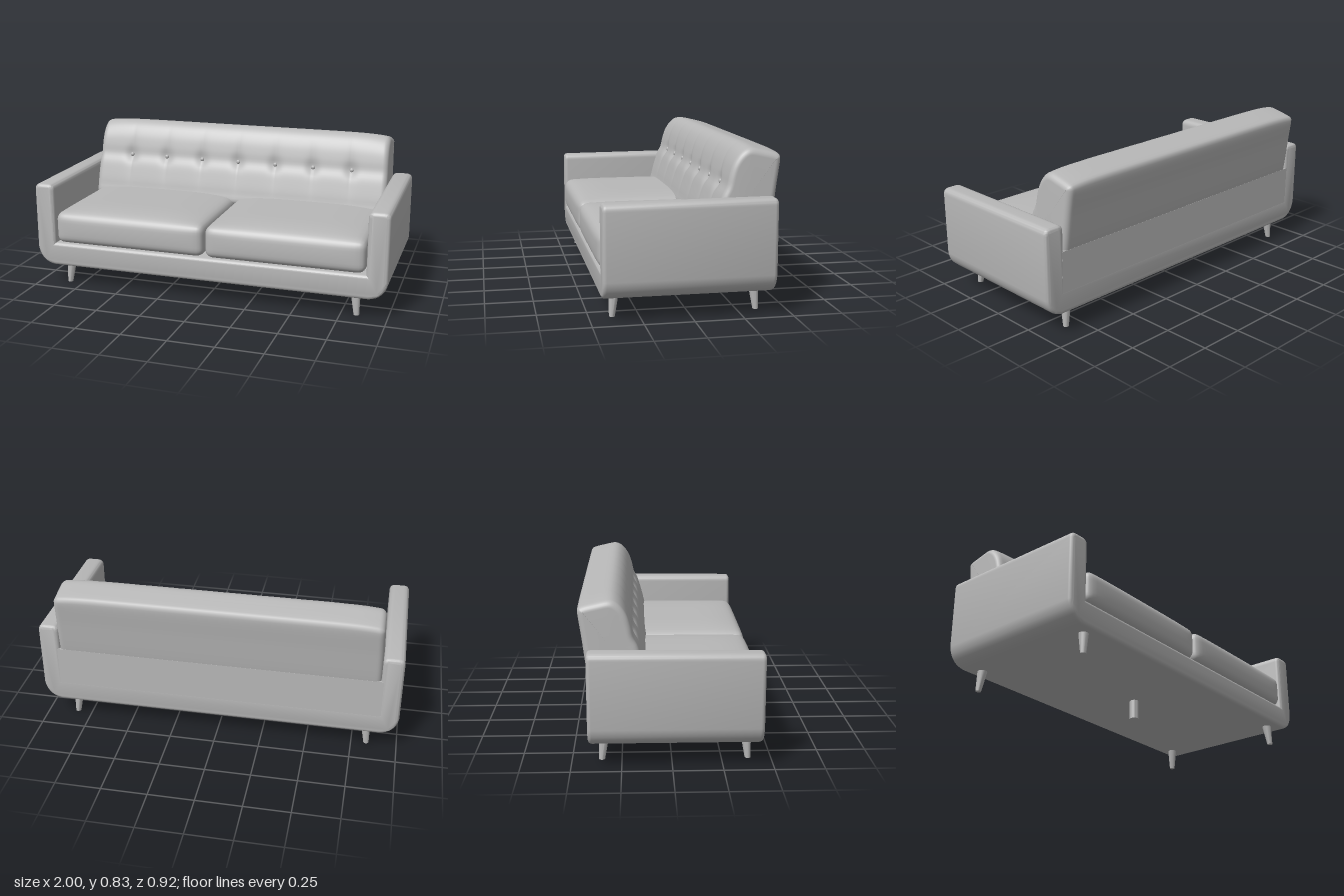
import * as THREE from 'three';
import { mergeVertices, toCreasedNormals } from 'three/addons/utils/BufferGeometryUtils.js';

const fabric = new THREE.MeshStandardMaterial({ color: 0xb8b8b8 });
fabric.name = 'grey upholstery';

function part(name, geometry, parent) {
  const mesh = new THREE.Mesh(geometry, fabric);
  mesh.name = name;
  parent.add(mesh);
  return mesh;
}

// U-shaped body: both arms and the base in one bevelled extrusion
function frameGeometry() {
  const s = new THREE.Shape();
  const W = 1, I = 0.885, B = 0.112, F = 0.245, T = 0.588, R = 0.1, r = 0.035;
  s.moveTo(-W + R, B);
  s.lineTo(W - R, B);
  s.quadraticCurveTo(W - 0.015, B + 0.01, W, B + R);
  s.lineTo(W, T - r);
  s.quadraticCurveTo(W, T, W - r, T);
  s.lineTo(I + r, T);
  s.quadraticCurveTo(I, T, I, T - r);
  s.lineTo(I, F);
  s.lineTo(-I, F);
  s.lineTo(-I, T - r);
  s.quadraticCurveTo(-I, T, -I - r, T);
  s.lineTo(-W + r, T);
  s.quadraticCurveTo(-W, T, -W, T - r);
  s.lineTo(-W, B + R);
  s.quadraticCurveTo(-W + 0.015, B + 0.01, -W + R, B);
  const b = 0.02;
  const g = new THREE.ExtrudeGeometry(s, {
    depth: 0.863 - 2 * b, bevelEnabled: true, bevelSize: b, bevelThickness: b,
    bevelOffset: -b, bevelSegments: 4, curveSegments: 8,
  });
  g.translate(0, 0, -0.415 + b);
  // Arm tops rise slightly to the rear
  const p = g.attributes.position;
  for (let i = 0; i < p.count; i++) {
    if (p.getY(i) > 0.5) p.setY(i, p.getY(i) - p.getZ(i) * 0.008);
  }
  return toCreasedNormals(g, 0.6);
}

// Rounded box with dense edges, swelling by crown on top and belly in front
function cushionGeometry(w, h, d, r, crown, belly) {
  let g = new THREE.BoxGeometry(2, 2, 2, 24, 16, 24);
  g.deleteAttribute('uv');
  g.deleteAttribute('normal');
  g = mergeVertices(g);
  const p = g.attributes.position, v = new THREE.Vector3(), c = new THREE.Vector3();
  const half = new THREE.Vector3(w / 2, h / 2, d / 2);
  const inner = half.clone().subScalar(r);
  for (let i = 0; i < p.count; i++) {
    v.fromBufferAttribute(p, i);
    v.set(...v.toArray().map((t) => Math.sin(t * Math.PI / 2))).multiply(half);
    c.copy(v).clamp(inner.clone().negate(), inner);
    v.sub(c).setLength(r).add(c);
    const a = v.x / half.x, b = v.y / half.y, e = v.z / half.z;
    const up = Math.max(0, b), out = Math.max(0, e);
    v.y += crown * up * (1 - a ** 4) * (1 - Math.max(0, e) ** 4);
    v.z += belly * out ** 3 * (1 - b * b) * (1 - a ** 6);
    p.setXYZ(i, v.x, v.y, v.z);
  }
  g.computeVertexNormals();
  return g;
}

const buttonX = [-3, -2, -1, 0, 1, 2, 3].map((i) => i * 0.226);
const buttonY = 0.635;

// Back cushion: one side profile (z, y) swept along x, with tufting pressed in
function backGeometry() {
  const profile = new THREE.CatmullRomCurve3([
    [-0.12, 0.40], [-0.127, 0.46], [-0.148, 0.54], [-0.166, 0.595], [-0.187, 0.637],
    [-0.199, 0.69], [-0.22, 0.755], [-0.25, 0.805], [-0.28, 0.829], [-0.305, 0.835],
    [-0.37, 0.823], [-0.435, 0.806], [-0.453, 0.797], [-0.457, 0.78], [-0.438, 0.63],
    [-0.412, 0.44], [-0.40, 0.39], [-0.26, 0.385],
  ].map(([z, y]) => new THREE.Vector3(0, y, z)), true, 'centripetal');
  const rows = 88, cols = 180, L = 0.888, r = 0.03;
  const ring = profile.getSpacedPoints(rows).slice(0, rows);
  const xs = [];
  for (let i = 0; i <= 6; i++) xs.push(-L + r * (1 - Math.cos(i / 6 * Math.PI / 2)));
  for (let i = 1; i < cols; i++) xs.push(-L + r + (2 * L - 2 * r) * i / cols);
  for (let i = 6; i >= 0; i--) xs.push(L - r * (1 - Math.cos(i / 6 * Math.PI / 2)));
  const pos = [], idx = [], normal = new THREE.Vector3();
  xs.forEach((x) => {
    const e = Math.max(0, r - (L - Math.abs(x)));
    const inset = r - Math.sqrt(Math.max(0, r * r - e * e));
    const dx = Math.min(...buttonX.map((b) => Math.abs(x - b)));
    ring.forEach((q, j) => {
      const a = ring[(j + rows - 1) % rows], b = ring[(j + 1) % rows];
      normal.set(0, a.z - b.z, b.y - a.y).normalize();
      const dy = q.y - buttonY;
      let press = inset;
      if (q.z > -0.31 && q.y > 0.42) {
        const fade = Math.exp(-((dy / 0.13) ** 2));
        press += 0.007 * Math.exp(-dx / 0.022) * fade;
        press += 0.012 * Math.exp(-(dx * dx + dy * dy) / 0.0012);
      }
      const droop = 0.016 * (Math.abs(x) / L) ** 10 * THREE.MathUtils.smoothstep(q.y, 0.7, 0.83);
      const taper = 1 - 0.008 * THREE.MathUtils.smoothstep(q.y, 0.45, 0.83);
      pos.push(x * taper, q.y - normal.y * press - droop, q.z - normal.z * press);
    });
  });
  const n = xs.length;
  for (let i = 0; i < n - 1; i++) {
    for (let j = 0; j < rows; j++) {
      const k = (j + 1) % rows;
      const a = i * rows + j, b = i * rows + k, c = a + rows, d = b + rows;
      idx.push(a, c, b, b, c, d);
    }
  }
  // End caps
  const left = pos.length / 3;
  pos.push(-L, 0.6, -0.3, L, 0.6, -0.3);
  for (let j = 0; j < rows; j++) {
    const k = (j + 1) % rows, o = (n - 1) * rows;
    idx.push(left, j, k, left + 1, o + k, o + j);
  }
  const g = new THREE.BufferGeometry();
  g.setAttribute('position', new THREE.Float32BufferAttribute(pos, 3));
  g.setIndex(idx);
  g.computeVertexNormals();
  return g;
}

// Tapered leg whose outer faces stay upright
function legGeometry(sx, sz) {
  const g = new THREE.CylinderGeometry(0.027, 0.015, 0.125, 14);
  const p = g.attributes.position;
  for (let i = 0; i < p.count; i++) {
    if (p.getY(i) < 0) {
      p.setX(i, p.getX(i) + sx * 0.011);
      p.setZ(i, p.getZ(i) + sz * 0.011);
    }
  }
  g.computeVertexNormals();
  return toCreasedNormals(g, 0.8);
}

export function createModel() {
  const sofa = new THREE.Group();
  sofa.name = 'sofa';

  part('frame', frameGeometry(), sofa);

  // Rear panel between the arms
  part('rearPanel', new THREE.BoxGeometry(1.8, 0.29, 0.08), sofa).position.set(0, 0.305, -0.3745);

  part('backCushion', backGeometry(), sofa);

  buttonX.forEach((x) => {
    const button = part('button', new THREE.SphereGeometry(0.012, 14, 10), sofa);
    button.position.set(x, buttonY, -0.2);
    button.scale.z = 0.7;
  });

  for (const s of [-1, 1]) {
    part('seatCushion', cushionGeometry(0.876, 0.178, 0.67, 0.042, 0.026, 0.009), sofa)
      .position.set(s * 0.442, 0.335, 0.115);
    part('frontLeg', legGeometry(s, 1), sofa).position.set(s * 0.823, 0.0625, 0.373);
    part('rearLeg', legGeometry(s, -1), sofa).position.set(s * 0.823, 0.0625, -0.339);
  }

  const post = new THREE.CylinderGeometry(0.025, 0.025, 0.12, 8);
  part('centreLeg', toCreasedNormals(post, 0.5), sofa).position.set(0, 0.065, 0.015);

  return sofa;
}
